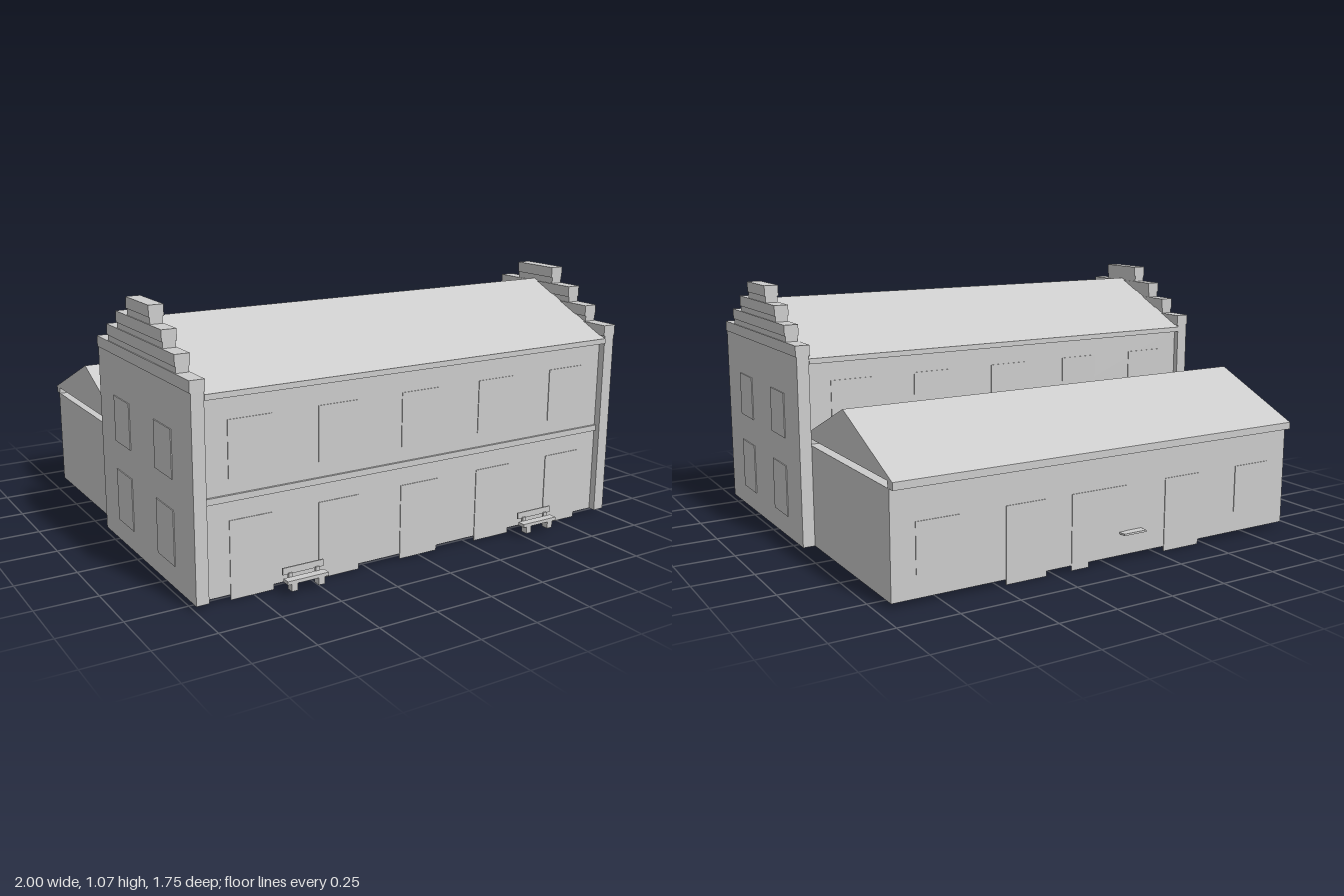
import * as THREE from 'three';

const plaster = new THREE.MeshStandardMaterial({ color: 0xcccccc });
plaster.name = 'pale grey';

// Box given by its min and max corners
function box(parent, name, [x0, x1], [y0, y1], [z0, z1]) {
  const mesh = new THREE.Mesh(new THREE.BoxGeometry(x1 - x0, y1 - y0, z1 - z0), plaster);
  mesh.position.set((x0 + x1) / 2, (y0 + y1) / 2, (z0 + z1) / 2);
  mesh.name = name;
  parent.add(mesh);
  return mesh;
}

// Profile of [z, y] points extruded along x
function profile(parent, name, points, x0, x1) {
  const shape = new THREE.Shape(points.map(([z, y]) => new THREE.Vector2(-z, y)));
  const geo = new THREE.ExtrudeGeometry(shape, { depth: x1 - x0, bevelEnabled: false });
  geo.rotateY(Math.PI / 2).translate(x0, 0, 0);
  const mesh = new THREE.Mesh(geo, plaster);
  mesh.name = name;
  parent.add(mesh);
  return mesh;
}

function group(parent, name) {
  const g = new THREE.Group();
  g.name = name;
  parent.add(g);
  return g;
}

export function createModel() {
  const model = new THREE.Group();
  model.name = 'steppedGableHouse';
  const bays = [-0.755, -0.378, 0, 0.378, 0.755];
  const W = 0.945;

  // Main hall with eaves, string course and roof
  const hall = group(model, 'mainHall');
  box(hall, 'hallWalls', [-0.95, 0.95], [0.02, 0.79], [-0.08, 0.78]);
  box(hall, 'stringCourse', [-W, W], [0.385, 0.41], [0.77, 0.79]);
  box(hall, 'frontEave', [-W, W], [0.78, 0.802], [0.76, 0.815]);
  box(hall, 'backEave', [-W, W], [0.78, 0.802], [-0.11, -0.06]);
  profile(hall, 'hallRoof', [[0.81, 0.8], [0.35, 1.005], [-0.11, 0.8]], -W, W);

  // Stepped gable ends, each step finished with a wider coping
  const steps = [
    [-0.105, 0.81, 0.02, 0.857],
    [0.015, 0.69, 0.857, 0.926],
    [0.125, 0.58, 0.926, 0.995],
    [0.24, 0.467, 0.995, 1.067],
  ];
  for (const side of [-1, 1]) {
    const gable = group(model, side > 0 ? 'leftGable' : 'rightGable');
    const span = (a, b) => (side > 0 ? [a, b] : [-b, -a]);
    steps.forEach(([z0, z1, y0, y1]) => {
      box(gable, 'gableStep', span(0.945, 0.996), [y0, y1 - 0.045], [z0, z1]);
      box(gable, 'coping', span(0.94, 1), [y1 - 0.045, y1], [z0, z1]);
    });
    for (const z of [0.55, 0.14]) {
      box(gable, 'gableLowerWindow', span(0.994, 1), [0.11, 0.33], [z - 0.08, z + 0.08]);
      box(gable, 'gableUpperWindow', span(0.994, 1), [0.45, 0.64], [z - 0.08, z + 0.08]);
    }
  }

  // Thin doors and windows, one column per bay
  const openings = group(model, 'openings');
  for (const x of bays) {
    const wide = [x - 0.09, x + 0.09];
    box(openings, 'frontDoor', wide, [0, 0.31], [0.777, 0.783]);
    box(openings, 'frontUpperWindow', wide, [0.47, 0.69], [0.777, 0.783]);
    box(openings, 'backUpperWindow', wide, [0.55, 0.7], [-0.083, -0.077]);
    box(openings, 'wingOpening', wide, [Math.abs(x) > 0.5 || x === 0 ? 0.11 : 0, 0.31], [-0.843, -0.837]);
  }
  box(openings, 'wingSideDoor', [0.09, 0.17], [0, 0.31], [-0.843, -0.837]);

  // Lower rear wing; its roof floats just above the wall tops
  const wing = group(model, 'rearWing');
  box(wing, 'wingWalls', [-W, W], [0.02, 0.445], [-0.84, -0.08]);
  box(wing, 'wingEave', [-W, W], [0.445, 0.475], [-0.87, -0.828]);
  profile(wing, 'wingRoof',
    [[-0.865, 0.472], [-0.085, 0.472], [-0.085, 0.5], [-0.44, 0.657], [-0.868, 0.475]].reverse(), -W, W);
  box(wing, 'counterShelf', [-0.17, -0.06], [0.112, 0.12], [-0.875, -0.835]);

  // Two benches along the front
  for (const x of [-0.567, 0.567]) {
    const bench = group(model, 'bench');
    box(bench, 'benchSeat', [x - 0.088, x + 0.088], [0.05, 0.064], [0.84, 0.875]);
    box(bench, 'benchBack', [x - 0.088, x + 0.088], [0.075, 0.102], [0.83, 0.836]);
    for (const s of [-1, 1]) {
      const cx = x + s * 0.058;
      box(bench, 'benchLeg', [cx - 0.013, cx + 0.013], [0.02, 0.05], [0.842, 0.873]);
      box(bench, 'backPost', [cx - 0.008, cx + 0.008], [0.055, 0.08], [0.832, 0.842]);
    }
  }

  return model;
}
